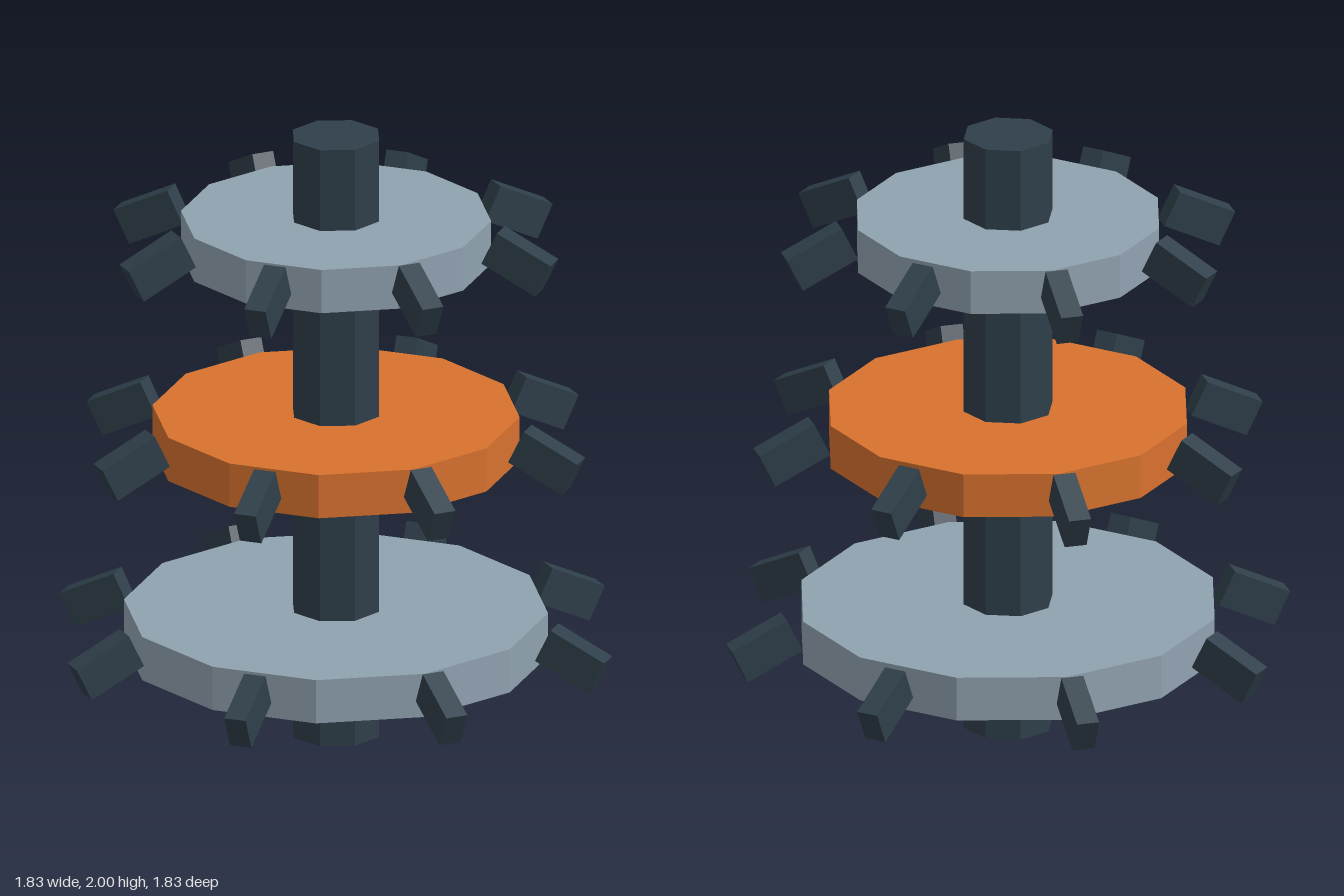
import * as THREE from 'three';

const material = (color) => new THREE.MeshStandardMaterial({ color, flatShading: true });

export function createModel() {
  const model = new THREE.Group();
  model.name = 'bladedRotor';
  const dark = material(0x2f3f4a);
  const steel = material(0x90a2b0);
  const orange = material(0xd8712e);

  // Octagonal central shaft
  const shaft = new THREE.Mesh(new THREE.CylinderGeometry(0.145, 0.145, 2, 8), dark);
  shaft.name = 'shaft';
  shaft.position.y = 1;
  model.add(shaft);

  // Three stages, narrowing upwards, each with a twelve-sided disc and a ring of blades
  const stages = [
    { name: 'lower', y: 0.347, radius: 0.67, disc: steel },
    { name: 'middle', y: 1.002, radius: 0.58, disc: orange },
    { name: 'upper', y: 1.657, radius: 0.49, disc: steel },
  ];
  const bladeGeometry = new THREE.BoxGeometry(0.2, 0.12, 0.072);

  for (const { name, y, radius, disc } of stages) {
    const stage = new THREE.Group();
    stage.name = `${name}Stage`;
    stage.position.y = y;

    const plate = new THREE.Mesh(new THREE.CylinderGeometry(radius, radius, 0.145, 12), disc);
    plate.name = `${name}Disc`;
    stage.add(plate);

    // Eight blades set just off the rim, outer ends tilted down
    for (let i = 0; i < 8; i++) {
      const arm = new THREE.Group();
      arm.name = `${name}BladeMount${i + 1}`;
      arm.rotation.y = (i * Math.PI) / 4;
      const blade = new THREE.Mesh(bladeGeometry, dark);
      blade.name = `${name}Blade${i + 1}`;
      blade.position.x = radius + 0.127;
      blade.rotation.z = -0.45;
      arm.add(blade);
      stage.add(arm);
    }
    model.add(stage);
  }
  return model;
}
